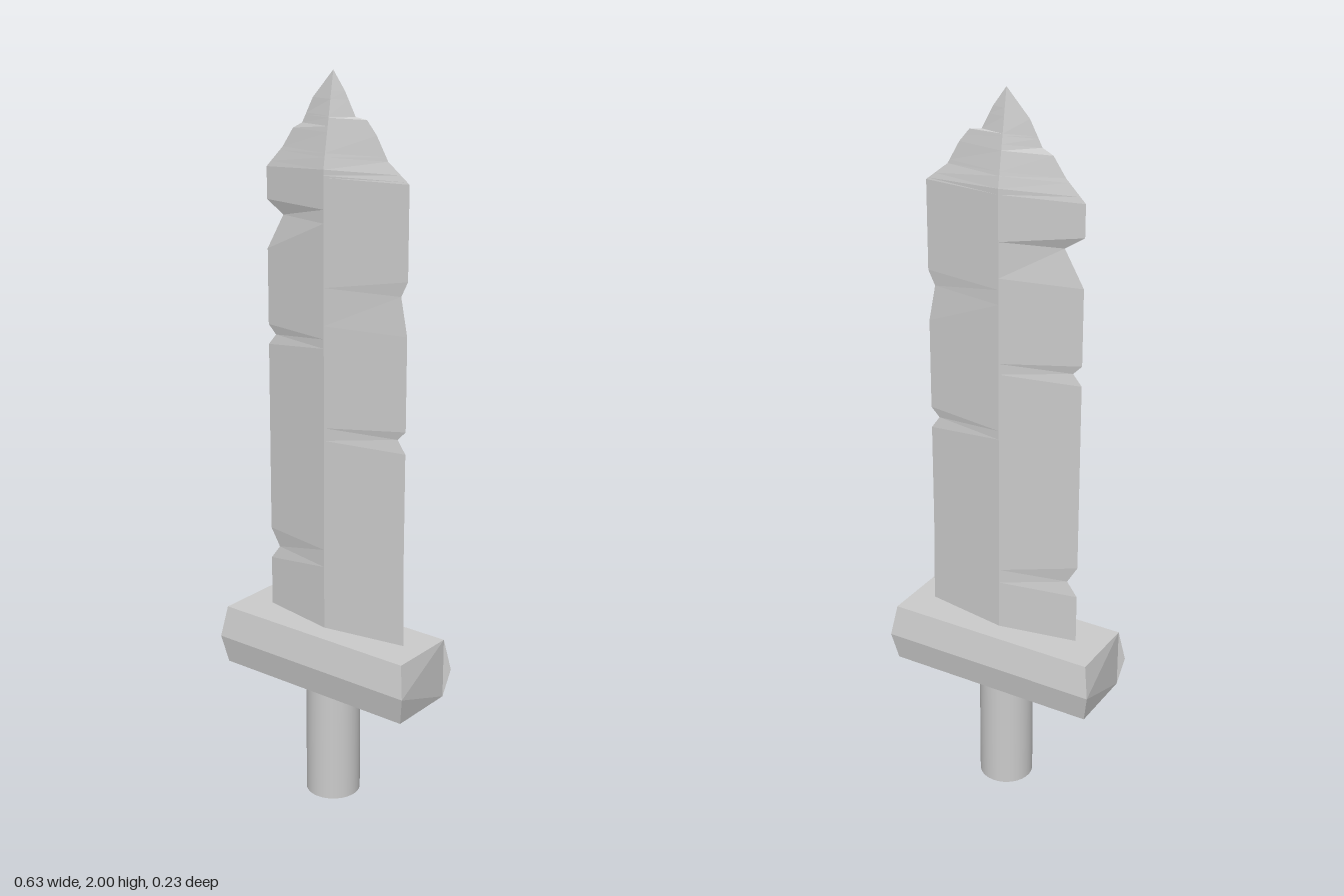
import * as THREE from 'three';

const smooth = new THREE.MeshStandardMaterial({ color: 0xcccccc });
const faceted = new THREE.MeshStandardMaterial({ color: 0xcccccc, flatShading: true });

function addMesh(group, name, geometry, material) {
  const mesh = new THREE.Mesh(geometry, material);
  mesh.name = name;
  group.add(mesh);
  return mesh;
}

function facetedGeometry(points, index) {
  const geo = new THREE.BufferGeometry();
  geo.setAttribute('position', new THREE.Float32BufferAttribute(points.flat(), 3));
  geo.setIndex(index);
  const flat = geo.toNonIndexed();
  flat.computeVertexNormals();
  return flat;
}

// Chipped cutting edges as [x, y], from the guard up to the point
const rightEdge = [
  [-0.22, 0.45], [-0.22, 0.65], [-0.19, 0.69], [-0.22, 0.74], [-0.22, 1.27], [-0.195, 1.3],
  [-0.22, 1.325], [-0.22, 1.53], [-0.165, 1.625], [-0.22, 1.66], [-0.22, 1.745],
  [-0.165, 1.8], [-0.13, 1.85], [-0.1, 1.865], [-0.065, 1.93], [0, 2],
];
const leftEdge = [
  [0.24, 0.45], [0.235, 0.77], [0.235, 1.05], [0.21, 1.085], [0.235, 1.11], [0.235, 1.36],
  [0.215, 1.46], [0.235, 1.5], [0.235, 1.74], [0.17, 1.79], [0.135, 1.85],
  [0.105, 1.885], [0.07, 1.89], [0.037, 1.95], [0, 2],
];

function edgeAt(edge, y) {
  const i = Math.max(1, edge.findIndex((p) => p[1] >= y));
  const [x0, y0] = edge[i - 1], [x1, y1] = edge[i];
  return x0 + (x1 - x0) * (y - y0) / (y1 - y0);
}

// Diamond cross-sections, thinning towards the tip
function bladeGeometry() {
  const levels = [...new Set([...rightEdge, ...leftEdge].map((p) => p[1]).concat(1.76))];
  levels.sort((a, b) => a - b);
  const points = [], index = [];
  levels.forEach((y, i) => {
    const half = 0.04 * Math.min(1, (2 - y) / 0.24);
    points.push([edgeAt(rightEdge, y), y, 0], [0, y, half], [edgeAt(leftEdge, y), y, 0], [0, y, -half]);
    if (i === 0) return;
    for (let k = 0; k < 4; k++) {
      const a = (i - 1) * 4 + k, b = (i - 1) * 4 + (k + 1) % 4;
      index.push(a, b, b + 4);
      if (i < levels.length - 1) index.push(a, b + 4, a + 4);
    }
  });
  index.push(0, 3, 2, 0, 2, 1);
  return facetedGeometry(points, index);
}

// Bar with bulging sides; its second end is the first turned half round
function guardGeometry() {
  const TB = 0, TF = 1, MF = 2, BF = 3, BB = 4, MB = 5;
  const end = [
    [-0.302, 0.51, -0.099], [-0.302, 0.51, 0.099], [-0.317, 0.42, 0.114],
    [-0.302, 0.34, 0.099], [-0.302, 0.34, -0.099], [-0.317, 0.42, -0.114],
  ];
  const points = [...end, ...end.map(([x, y, z]) => [-x, y, -z])];
  const other = (i) => (i + 6) % 12;
  const index = [];
  const quad = (a, b, c, d) => [a, b, c, a, c, d];
  const half = [
    TF, TB, MB, TF, MB, BF, MB, BB, BF, TF, BF, MF,
    ...quad(TF, MF, other(MB), other(TB)),
    ...quad(MF, BF, other(BB), other(MB)),
  ];
  index.push(...half, ...half.map(other));
  index.push(...quad(TF, other(TB), other(TF), TB), ...quad(BF, BB, other(BF), other(BB)));
  return facetedGeometry(points, index);
}

export function createModel() {
  const group = new THREE.Group();
  group.name = 'brokenSword';
  addMesh(group, 'blade', bladeGeometry(), faceted);
  addMesh(group, 'guard', guardGeometry(), faceted);
  // Round grip
  addMesh(group, 'grip', new THREE.CylinderGeometry(0.076, 0.076, 0.35, 32), smooth).position.y = 0.175;
  return group;
}
